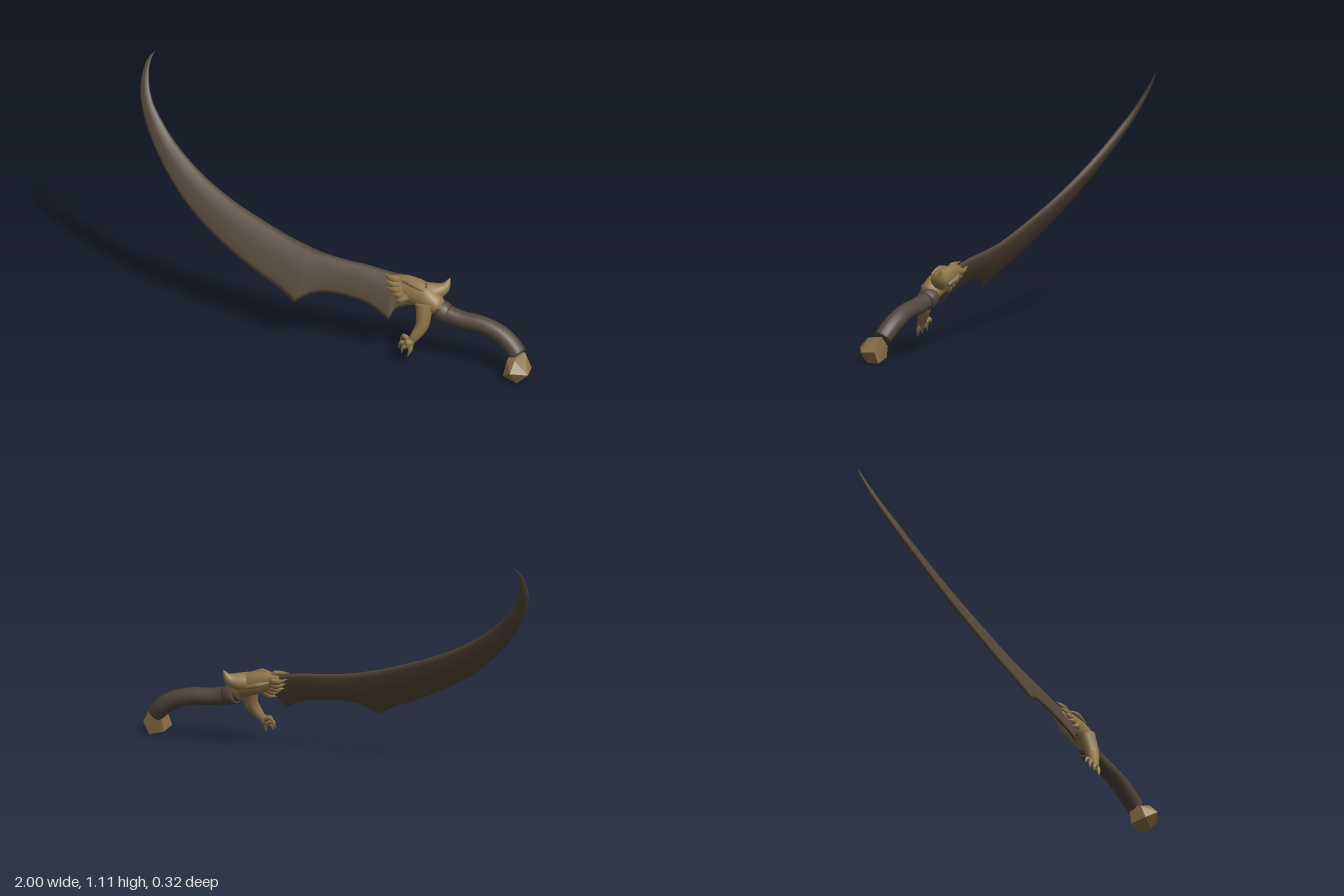
import * as THREE from 'three';
import { ConvexGeometry } from 'three/addons/geometries/ConvexGeometry.js';

const V = (x, y, z) => new THREE.Vector3(x, y, z);
// The sword lies in one leaning plane.
const planeZ = (x, y) => 0.255 - 0.202 * x - 0.549 * y;
const N = V(0.202, 0.549, 1).normalize();
const onPlane = (x, y, off = 0) => V(x, y, planeZ(x, y)).addScaledVector(N, off);

// Skin a list of closed rings, closing both ends.
function skin(rings) {
  const n = rings[0].length;
  const mid = r => {
    const c = V(0, 0, 0);
    r.forEach(p => c.add(p));
    return r.map(() => c.clone().divideScalar(n));
  };
  const all = [mid(rings[0]), ...rings, mid(rings[rings.length - 1])];
  const index = [];
  for (let i = 0; i < all.length - 1; i++) {
    for (let j = 0; j < n; j++) {
      const a = i * n + j, b = i * n + (j + 1) % n;
      index.push(a, b, b + n, a, b + n, a + n);
    }
  }
  const g = new THREE.BufferGeometry().setFromPoints(all.flat());
  g.setIndex(index);
  g.computeVertexNormals();
  return g;
}

// Tapering tube: radii run along the path; each is [across plane, in plane] or one number.
function limb(points, radii, steps = 16, sides = 12) {
  const curve = new THREE.CatmullRomCurve3(points);
  const rings = [];
  for (let i = 0; i <= steps; i++) {
    const u = i / steps, s = u * (radii.length - 1);
    const k = Math.min(Math.floor(s), radii.length - 2);
    const [r0, r1] = [radii[k], radii[k + 1]].map(r => [r].flat());
    const ra = THREE.MathUtils.lerp(r0[0], r1[0], s - k);
    const rb = THREE.MathUtils.lerp(r0[1] ?? r0[0], r1[1] ?? r1[0], s - k);
    const c = curve.getPoint(u), t = curve.getTangent(u);
    const a = N.clone().addScaledVector(t, -N.dot(t)).normalize();
    const b = t.clone().cross(a);
    rings.push(Array.from({ length: sides }, (_, j) => {
      const w = j / sides * Math.PI * 2;
      return c.clone().addScaledVector(a, ra * Math.cos(w)).addScaledVector(b, rb * Math.sin(w));
    }));
  }
  return skin(rings);
}

// Blade from pairs of spine and edge points [spineX, spineY, edgeX, edgeY].
function bladeGeometry() {
  const spans = [
    [[-.965, 1.11, -.967, 1.108], [-.974, 1.08, -.992, 1.075], [-.975, 1.04, -1, 1.02],
      [-.96, .98, -.99, .94], [-.925, .91, -.95, .85], [-.86, .835, -.88, .745],
      [-.78, .76, -.78, .63], [-.64, .66, -.64, .505], [-.48, .575, -.48, .40],
      [-.32, .51, -.3, .305], [-.18, .46, -.2, .262], [-.08, .432, -.105, .207]],
    [[-.08, .432, -.105, .207], [-.03, .42, -.05, .245], [.02, .412, .02, .264],
      [.1, .402, .1, .263], [.18, .396, .19, .25], [.26, .385, .265, .225], [.31, .38, .325, .19]],
    [[.31, .38, .325, .19], [.34, .378, .345, .235], [.4, .365, .42, .265]],
  ];
  // Position from spine to edge, and thickness there
  const section = [[.1, .9], [.5, 1], [.9, .5], [1, 0], [.9, -.5], [.5, -1], [.1, -.9], [0, 0]];
  const rings = [];
  spans.forEach((span, s) => {
    const spine = new THREE.CatmullRomCurve3(span.map(p => onPlane(p[0], p[1])));
    const edge = new THREE.CatmullRomCurve3(span.map(p => onPlane(p[2], p[3])));
    const steps = (span.length - 1) * 4;
    for (let i = s ? 1 : 0; i <= steps; i++) {
      const a = spine.getPoint(i / steps), b = edge.getPoint(i / steps);
      const t = Math.min(0.016, a.distanceTo(b) * 0.16);
      rings.push(section.map(([f, k]) => a.clone().lerp(b, f).addScaledVector(N, t * k)));
    }
  });
  return skin(rings);
}

export function createModel() {
  const model = new THREE.Group();
  const material = (name, color) => {
    const m = new THREE.MeshStandardMaterial({ color });
    m.name = name;
    return m;
  };
  const darkMetal = material('dark bronze', 0x544738);
  const leather = material('grip brown', 0x50453a);
  const gold = material('old gold', 0x8c7448);
  const add = (name, geometry, mat, parent = model) => {
    const mesh = new THREE.Mesh(geometry, mat);
    mesh.name = name;
    parent.add(mesh);
  };

  add('blade', bladeGeometry(), darkMetal);

  // Curved grip with a raised collar
  add('grip', limb(
    [V(.5, .262, -.01), V(.57, .24, -.013), V(.64, .224, -.02), V(.73, .217, -.033),
      V(.81, .192, -.04), V(.87, .155, -.038), V(.918, .11, -.03)],
    [.036, .04, .039, .038, .04, .042, .04], 32, 16), leather);
  add('gripCollar', limb([V(.527, .255, -.01), V(.55, .246, -.012), V(.575, .238, -.014)],
    [.047, .048, .042], 6, 16), leather);

  // Faceted pommel
  add('pommel', new ConvexGeometry([
    V(.885, .1, .02), V(.885, .12, -.045), V(.945, .125, -.04), V(.93, .115, .035),
    V(.995, .055, .03), V(.98, .06, -.035), V(.93, .07, .08), V(.88, .035, .05),
    V(.88, .025, -.03), V(.95, .005, -.035), V(.94, .003, .035),
  ]), gold);

  // Guard: beast body gripping the blade
  const guard = new THREE.Group();
  guard.name = 'guard';
  model.add(guard);
  add('guardBody', limb(
    [onPlane(.3, .338), onPlane(.36, .328), onPlane(.42, .318), onPlane(.47, .302),
      onPlane(.52, .275, -.005), onPlane(.545, .26, -.01)],
    [[.02, .042], [.034, .058], [.045, .06], [.05, .056], [.047, .046], [.03, .03]], 20, 16), gold, guard);
  add('horn', limb([V(.46, .32, -.015), V(.5, .322, -.04), V(.53, .338, -.065), V(.546, .378, -.086)],
    [.045, .04, .026, .002], 14), gold, guard);

  // Jagged fringe on both faces of the blade: [rootX, rootY, tipX, tipY]
  const fringe = [[.34, .355, .262, .372], [.35, .335, .275, .345], [.36, .32, .29, .318],
    [.37, .305, .318, .297], [.39, .295, .338, .268]];
  for (const side of [1, -1]) {
    for (const [x, y, tx, ty] of fringe) {
      add('fringeSpike', limb(
        [onPlane(x, y, side * .022), onPlane((x + tx) / 2, (y + ty) / 2 - .005, side * .026),
          onPlane(tx, ty, side * .019)],
        [[.014, .02], [.011, .014], .001], 8, 8), gold, guard);
    }
    add('browRidge', limb(
      [onPlane(.35, .352, side * .03), onPlane(.4, .345, side * .045), onPlane(.46, .325, side * .046)],
      [.004, .012, .006], 8, 8), gold, guard);
  }

  // Foreleg and clawed foot hanging below
  const leg = new THREE.Group();
  leg.name = 'foreleg';
  guard.add(leg);
  add('legUpper', limb(
    [V(.475, .285, .025), V(.48, .235, .042), V(.48, .195, .055), V(.464, .155, .075), V(.442, .118, .095)],
    [.042, .035, .031, .025, .017], 18), gold, leg);
  add('foot', limb([V(.455, .135, .085), V(.435, .112, .1), V(.418, .105, .103)], [.014, .024, .014], 8, 10), gold, leg);
  const claws = [
    [V(.43, .118, .09), V(.402, .132, .085), V(.385, .108, .088)],
    [V(.43, .108, .1), V(.4, .108, .105), V(.388, .076, .108)],
    [V(.435, .105, .108), V(.415, .092, .116), V(.408, .064, .12)],
    [V(.445, .11, .1), V(.448, .085, .112), V(.44, .053, .122)],
  ];
  for (const path of claws) add('claw', limb(path, [.013, .011, .001], 8, 8), gold, leg);

  return model;
}
